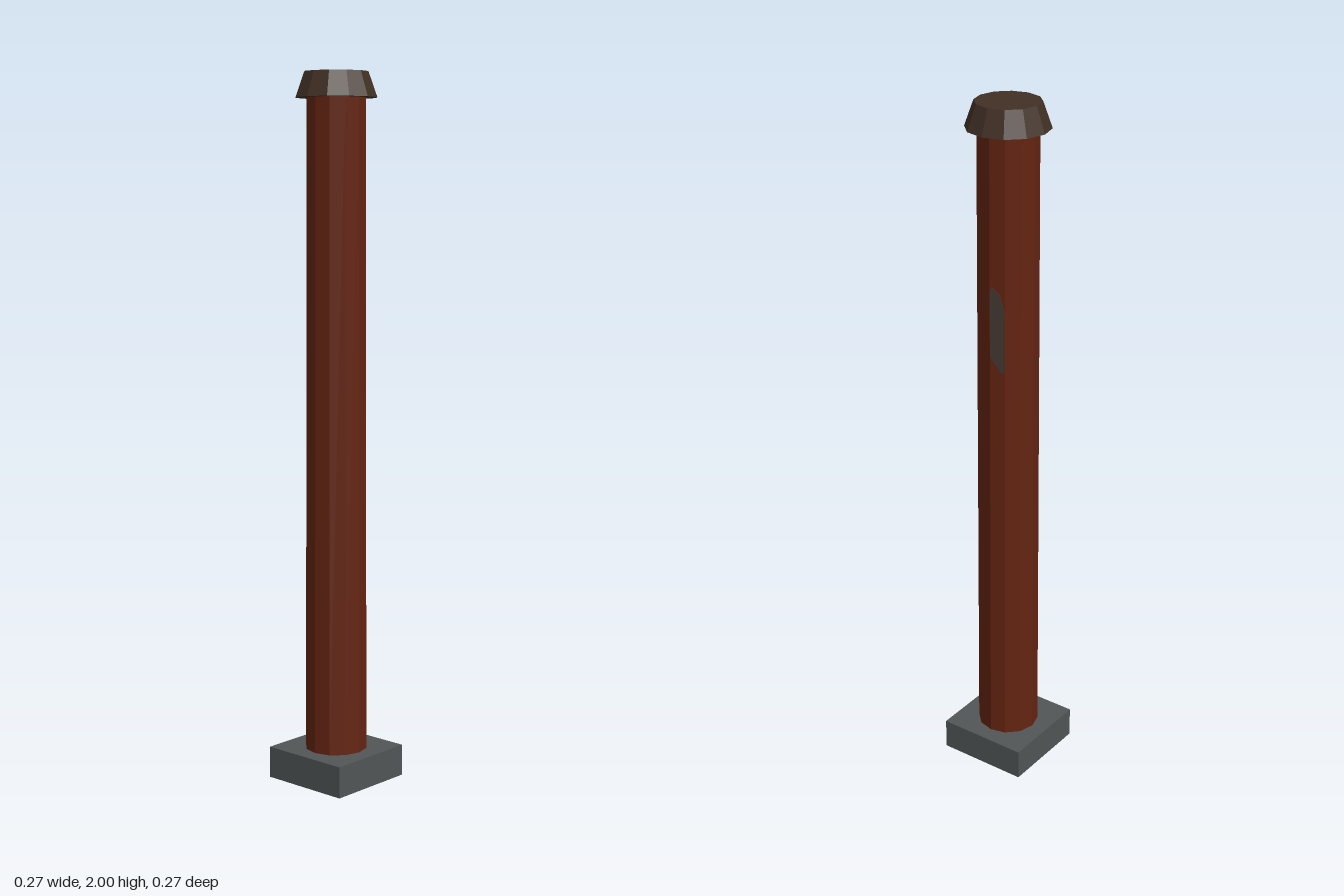
import * as THREE from 'three';

export function createModel() {
  const stone = new THREE.MeshStandardMaterial({ color: 0x515555 });
  stone.name = 'stone grey';
  const rust = new THREE.MeshStandardMaterial({ color: 0x642411 });
  rust.name = 'rust red';
  const iron = new THREE.MeshStandardMaterial({ color: 0x413025 });
  iron.name = 'dark brown';
  const worn = new THREE.MeshStandardMaterial({ color: 0x443931 });
  worn.name = 'worn grey brown';
  for (const m of [stone, rust, iron, worn]) m.flatShading = true;

  const group = new THREE.Group();
  group.name = 'column';
  const add = (name, geometry, material, y) => {
    const mesh = new THREE.Mesh(geometry, material);
    mesh.name = name;
    mesh.position.y = y;
    group.add(mesh);
    return mesh;
  };

  // Square plinth, tapered twelve-sided shaft, flared cap
  add('plinth', new THREE.BoxGeometry(0.27, 0.09, 0.27), stone, 0.045);
  add('shaft', new THREE.CylinderGeometry(0.083, 0.089, 1.84, 12), rust, 1.01);
  add('cap', new THREE.CylinderGeometry(0.09, 0.115, 0.07, 12), iron, 1.965);

  // Thin worn patch lying on one facet of the shaft
  const outline = new THREE.Shape([
    [-0.021, -0.08], [0.01, -0.125], [0.021, -0.125], [0.021, 0.05],
    [0.008, 0.1], [-0.016, 0.12], [-0.021, 0.11],
  ].map(([x, y]) => new THREE.Vector2(x, y)));
  const patch = add('wornPatch',
    new THREE.ExtrudeGeometry(outline, { depth: 0.003, bevelEnabled: false }), worn, 1.395);
  const angle = THREE.MathUtils.degToRad(105);
  patch.rotation.y = angle;
  patch.position.x = Math.sin(angle) * 0.0805;
  patch.position.z = Math.cos(angle) * 0.0805;

  return group;
}
